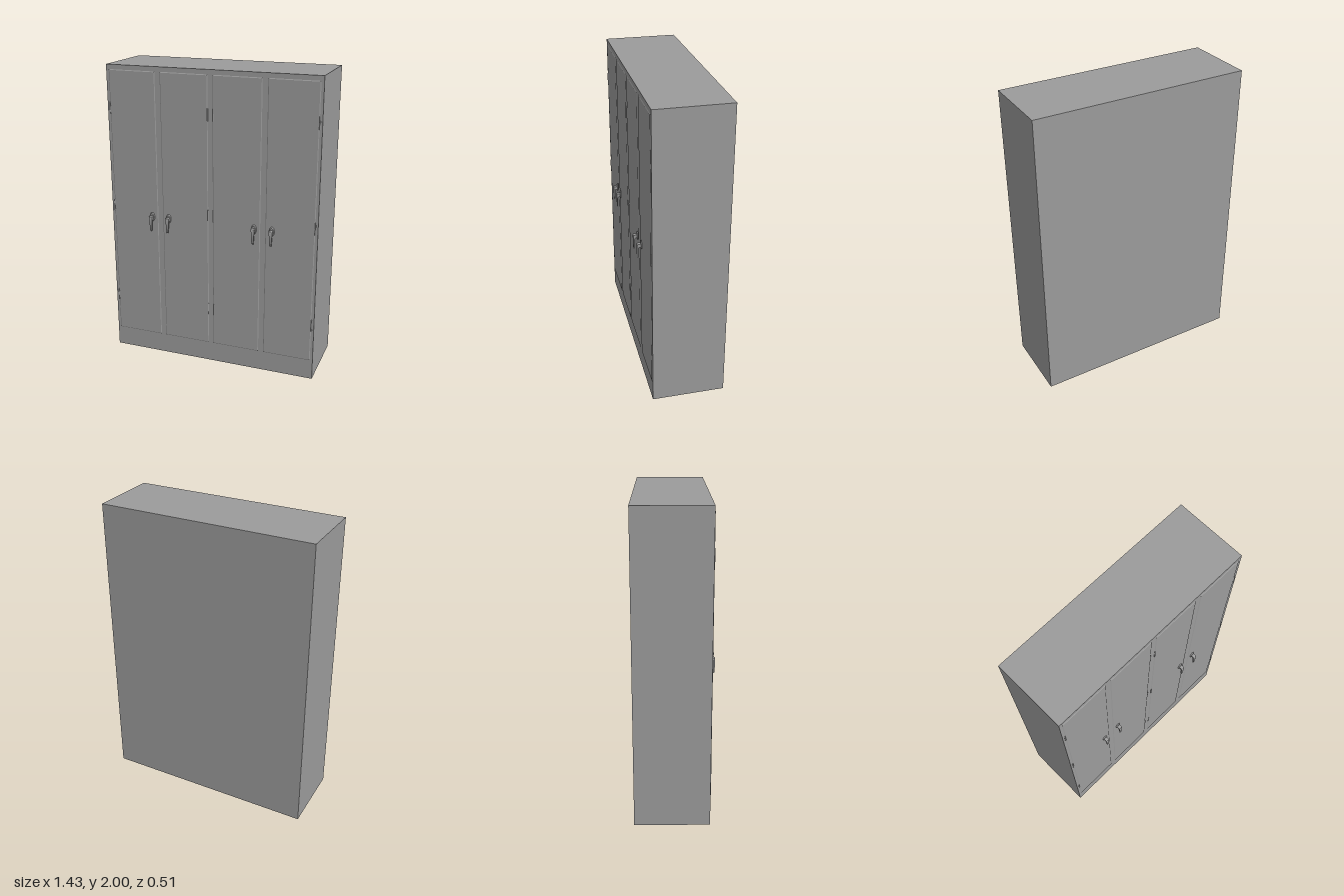
import * as THREE from 'three';
import { toCreasedNormals } from 'three/addons/utils/BufferGeometryUtils.js';

const FRONT = 0.222; // z of the cabinet face

// Crank handle: side profile extruded across, then narrowed towards the tip
function leverGeometry() {
  const side = new THREE.Shape();
  side.moveTo(0, -0.01);
  side.lineTo(0.018, -0.01);
  side.quadraticCurveTo(0.024, -0.012, 0.024, -0.022);
  side.lineTo(0.025, -0.084);
  side.quadraticCurveTo(0.028, -0.094, 0.032, -0.084);
  side.lineTo(0.033, 0.002);
  side.quadraticCurveTo(0.033, 0.012, 0.024, 0.012);
  side.lineTo(0, 0.012);
  const width = 0.024;
  const geo = new THREE.ExtrudeGeometry(side, { depth: width, bevelEnabled: false, curveSegments: 5 });
  geo.translate(0, 0, -width / 2).rotateY(-Math.PI / 2);
  const p = geo.attributes.position;
  for (let i = 0; i < p.count; i++) {
    const t = THREE.MathUtils.clamp((0.012 - p.getY(i)) / 0.1, 0, 1);
    p.setX(i, p.getX(i) * (1 - 0.5 * t));
  }
  return toCreasedNormals(geo, 0.7);
}

export function createModel() {
  const model = new THREE.Group();
  const mat = new THREE.MeshStandardMaterial({ color: 0x9b9b9b });

  const add = (parent, name, geometry, x = 0, y = 0, z = 0) => {
    const mesh = new THREE.Mesh(geometry, mat);
    mesh.name = name;
    mesh.position.set(x, y, z);
    parent.add(mesh);
    return mesh;
  };

  // Cabinet body
  add(model, 'cabinetBody', new THREE.BoxGeometry(1.426, 2, FRONT + 0.255), 0, 1, (FRONT - 0.255) / 2);

  // Door panel: barely raised slab with a shallow sloping border
  const doorW = 0.322, doorH = 1.834, slope = 0.005;
  const w = doorW / 2 - slope, h = doorH / 2 - slope;
  const panel = new THREE.Shape([
    new THREE.Vector2(-w, -h), new THREE.Vector2(w, -h),
    new THREE.Vector2(w, h), new THREE.Vector2(-w, h),
  ]);
  const doorGeo = new THREE.ExtrudeGeometry(panel, {
    depth: 0.002, bevelEnabled: true, bevelSize: slope, bevelThickness: 0.003, bevelSegments: 1,
  });

  // Hinge knuckle, faceted
  const hingeGeo = toCreasedNormals(new THREE.CylinderGeometry(0.005, 0.005, 0.08, 6), 0.1);

  // Rose: oval plate tapering towards the front
  const roseGeo = new THREE.CylinderGeometry(0.013, 0.02, 0.009, 24).rotateX(Math.PI / 2).scale(1, 1.75, 1);
  const leverGeo = leverGeometry();

  // Four doors: panel centre, hinge edge and handle position, mirrored left and right
  const doors = [
    { centre: 0.177, hinge: 0.019, handle: 0.297 },
    { centre: 0.534, hinge: 0.696, handle: 0.416 },
  ];
  for (const side of [-1, 1]) {
    for (const d of doors) {
      const door = new THREE.Group();
      door.name = 'door';
      model.add(door);
      add(door, 'doorPanel', doorGeo, side * d.centre, 0.135 + doorH / 2, FRONT - 0.002);

      for (const y of [0.39, 1.055, 1.72]) add(door, 'hinge', hingeGeo, side * d.hinge, y, FRONT);

      const handle = new THREE.Group();
      handle.name = 'handle';
      handle.position.set(side * d.handle, 1.0, FRONT);
      door.add(handle);
      add(handle, 'rose', roseGeo, 0, 0.003, 0.0045);
      add(handle, 'lever', leverGeo);
    }
  }
  return model;
}
